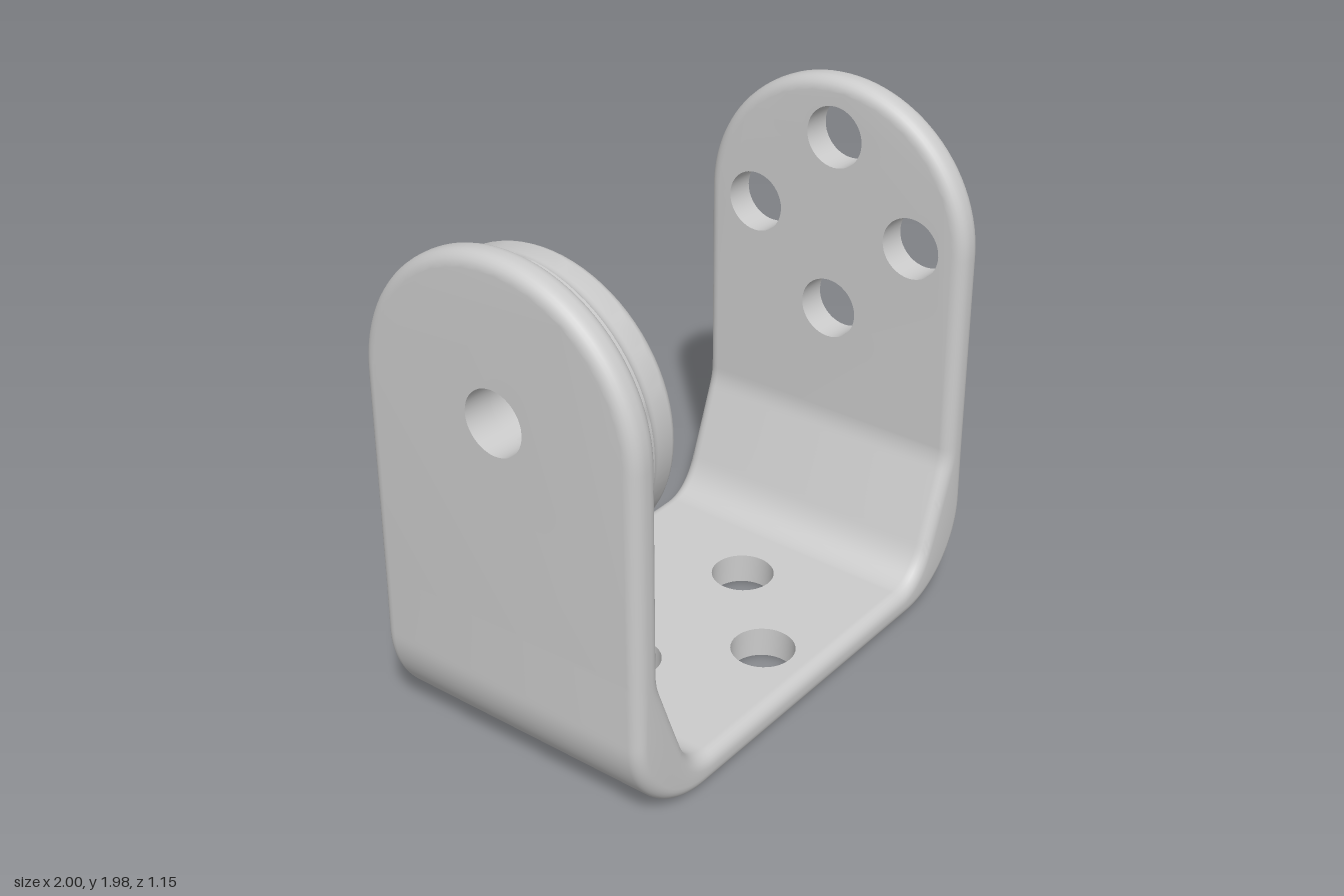
import * as THREE from 'three';
import { mergeGeometries, toCreasedNormals } from 'three/addons/utils/BufferGeometryUtils.js';

const T = 0.12;        // plate thickness
const W = 0.575;       // half width
const R = 0.05;        // edge rounding
const ARM_Y = 0.62;    // where arms leave the corners
const BASE_X = 0.59;   // where the base leaves the corners
const EYE_Y = 1.405;   // centre of the rounded arm end
const HOLE = 0.12;

const V = (x, y, z) => new THREE.Vector3(x, y, z);
const arc = (cx, cy, r, a0, a1, n) => Array.from({ length: n + 1 }, (_, i) => {
  const a = a0 + (a1 - a0) * i / n;
  return new THREE.Vector2(cx + r * Math.cos(a), cy + r * Math.sin(a));
});

// Rounded edge profile: x = inset from the rim, y = height through the plate
const edge = [
  ...arc(0, T - R, R, Math.PI / 2, 0, 6),
  ...arc(0, R, R, 0, -Math.PI / 2, 6),
].map(p => new THREE.Vector2(R - p.x, p.y));

// Surface through rows of points
function skin(rows) {
  const pos = [];
  for (let i = 0; i < rows.length - 1; i++) {
    for (let j = 0; j < rows[i].length - 1; j++) {
      const a = rows[i][j], b = rows[i + 1][j], c = rows[i][j + 1], d = rows[i + 1][j + 1];
      for (const p of [a, c, b, b, c, d]) pos.push(p.x, p.y, p.z);
    }
  }
  const g = new THREE.BufferGeometry();
  g.setAttribute('position', new THREE.Float32BufferAttribute(pos, 3));
  return g;
}

function bare(g) {
  const out = g.index ? g.toNonIndexed() : g;
  out.deleteAttribute('uv');
  out.deleteAttribute('normal');
  return out;
}

// Plate with rounded rims and through holes; outer face at z = T
function plate(outline, rims, centres) {
  const circles = centres.map(([x, y]) => arc(x, y, HOLE, Math.PI * 2, 0, 40));
  const shape = new THREE.Shape(outline(R));
  shape.holes = circles.map(c => new THREE.Path(c));
  const outer = bare(new THREE.ShapeGeometry(shape)).translate(0, 0, T);
  const inner = bare(new THREE.ShapeGeometry(shape)).rotateY(Math.PI);
  const parts = [outer, inner]; // outline and holes are symmetric, so a half turn is enough
  const layers = edge.map(e => outline(e.x).map(p => V(p.x, p.y, e.y)));
  for (const [from, to] of rims) {
    const rows = [];
    for (let i = from; i <= to; i++) rows.push(layers.map(l => l[i]));
    parts.push(skin(rows));
  }
  for (const c of circles) parts.push(skin(c.map(p => [V(p.x, p.y, T), V(p.x, p.y, 0)])));
  return mergeGeometries(parts);
}

function arm(centres) {
  const n = 48;
  const outline = inset => [
    new THREE.Vector2(W - inset, ARM_Y),
    ...arc(0, EYE_Y, W - inset, 0, Math.PI, n),
    new THREE.Vector2(-W + inset, ARM_Y),
  ];
  return plate(outline, [[0, n + 2]], centres).rotateY(Math.PI / 2).translate(1 - T, 0, 0);
}

function base(centres) {
  const outline = inset => [[1, -1], [1, 1], [-1, 1], [-1, -1]]
    .map(([u, v]) => new THREE.Vector2(u * (W - inset), v * BASE_X));
  return plate(outline, [[0, 1], [2, 3]], centres)
    .rotateZ(Math.PI / 2).rotateX(Math.PI / 2).translate(0, T, 0);
}

// Thickened corner, lofted between its inner and outer curves
function corner() {
  const inner = new THREE.Path().moveTo(1 - T, ARM_Y)
    .quadraticCurveTo(1 - T, 0.58, 0.865, 0.54)
    .lineTo(0.755, 0.25)
    .quadraticCurveTo(0.705, T, BASE_X, T);
  const outer = new THREE.Path().moveTo(1, ARM_Y).lineTo(1, 0.36)
    .absarc(0.64, 0.36, 0.36, 0, -Math.PI / 2, true)
    .lineTo(BASE_X, 0);
  const n = 40, ins = inner.getSpacedPoints(n), outs = outer.getSpacedPoints(n);
  const rows = ins.map((I, k) => {
    const O = outs[k], dir = I.clone().sub(O).normalize();
    const side = edge.map(e => {
      const p = e.y > T / 2
        ? O.clone().addScaledVector(dir, T - e.y)
        : I.clone().addScaledVector(dir, -e.y);
      return V(p.x, p.y, W - e.x);
    });
    const back = side.map(p => V(p.x, p.y, -p.z)).reverse();
    return [...side, ...back, side[0]];
  });
  return skin(rows);
}

// Round boss with a bore, filleted into the inside of the arm
function boss() {
  const profile = [
    ...arc(0.58, 0.06, 0.06, Math.PI * 1.5, Math.PI, 8),
    ...arc(0.47, 0.12, 0.05, 0, Math.PI / 2, 8),
    new THREE.Vector2(HOLE, 0.17),
    new THREE.Vector2(HOLE, 0),
  ];
  const g = bare(new THREE.LatheGeometry(profile, 80).rotateZ(-Math.PI / 2));
  const p = g.attributes.position, limit = 0.55;
  // Keep the fillet inside the rounded rim of the arm
  for (let i = 0; i < p.count; i++) {
    const y = p.getY(i), z = p.getZ(i);
    const reach = y > 0 ? Math.hypot(y, z) : Math.abs(z);
    if (reach <= limit) continue;
    const k = limit / reach;
    p.setXYZ(i, p.getX(i) - 0.03, y > 0 ? y * k : y, z * k);
  }
  return g.translate(T - 1, EYE_Y, 0);
}

export function createModel() {
  const group = new THREE.Group();
  const material = new THREE.MeshStandardMaterial({ color: 0xcccccc });
  const add = (name, geometry) => {
    const mesh = new THREE.Mesh(toCreasedNormals(geometry, 0.6), material);
    mesh.name = name;
    group.add(mesh);
  };
  const ring = cy => [[0.35, cy], [-0.35, cy], [0, cy + 0.35], [0, cy - 0.35]];

  add('bracket', mergeGeometries([
    base(ring(0)),
    arm(ring(EYE_Y)),
    arm([[0, EYE_Y]]).rotateY(Math.PI),
    corner(),
    corner().rotateY(Math.PI),
  ]));
  add('pivotBoss', boss());
  return group;
}
